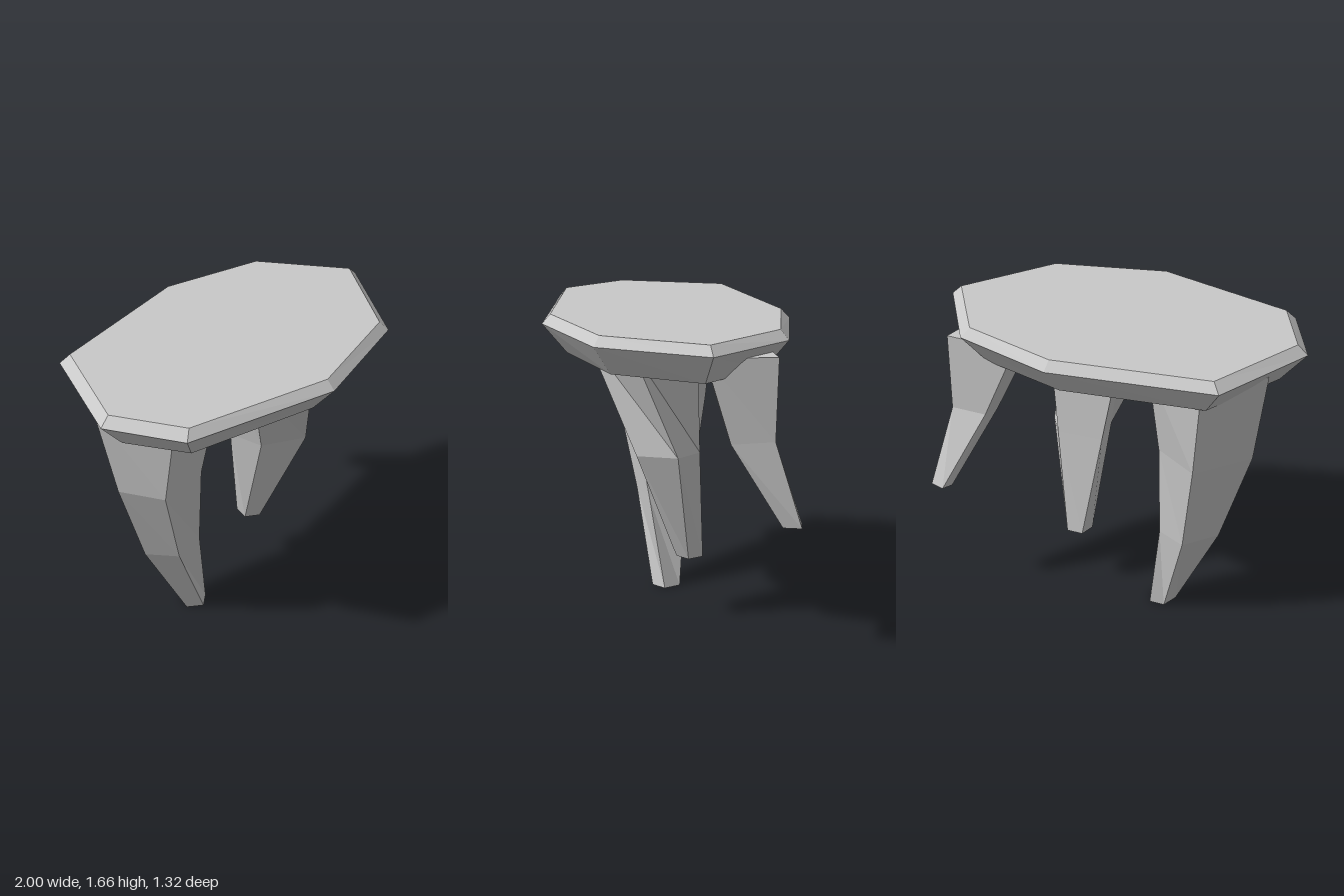
import * as THREE from 'three';

// Faceted solid from stacked rings of [x, z] corners, lowest ring first.
// Corners run from the front round by +x to the back.
function loft(name, rings, material) {
  const pos = [], index = [];
  const n = rings[0].points.length;
  for (const { y, points } of rings) {
    for (const [x, z] of points) pos.push(x, y, z);
  }
  for (let r = 0; r < rings.length - 1; r++) {
    for (let i = 0; i < n; i++) {
      const a = r * n + i, b = r * n + (i + 1) % n;
      index.push(a, b, a + n, b, b + n, a + n);
    }
  }
  const last = (rings.length - 1) * n;
  for (let i = 1; i < n - 1; i++) {
    index.push(0, i + 1, i); // underside
    index.push(last, last + i, last + i + 1); // top
  }
  const indexed = new THREE.BufferGeometry();
  indexed.setAttribute('position', new THREE.Float32BufferAttribute(pos, 3));
  indexed.setIndex(index);
  const geometry = indexed.toNonIndexed();
  geometry.computeVertexNormals();
  const mesh = new THREE.Mesh(geometry, material);
  mesh.name = name;
  return mesh;
}

export function createModel() {
  const stone = new THREE.MeshStandardMaterial({ color: 0xc8c8c8, flatShading: true });
  stone.name = 'grey stone';
  const group = new THREE.Group();
  group.name = 'stonePlatform';

  // Eight-sided slab with a bevelled rim and a tapered underside
  const rim = [[0, 0.655], [0.64, 0.5], [1, -0.01], [0.7, -0.48],
    [0.14, -0.66], [-0.735, -0.545], [-1, 0.03], [-0.81, 0.42]];
  const scaled = (sx, sz) => rim.map(([x, z]) => [x * sx, z * sz]);
  group.add(loft('slab', [
    { y: 1.455, points: scaled(0.86, 0.8) },
    { y: 1.615, points: rim },
    { y: 1.665, points: scaled(0.945, 0.93) },
  ], stone));

  // Five-sided tapering spurs of rock, each bent towards its tip
  group.add(loft('longSpur', [
    { y: 0, points: [[-0.275, 0], [-0.2, -0.055], [-0.23, -0.15], [-0.315, -0.15], [-0.35, -0.06]] },
    { y: 0.52, points: [[-0.5, 0.04], [-0.31, 0.01], [-0.303, -0.2], [-0.465, -0.28], [-0.61, -0.11]] },
    { y: 1.04, points: [[-0.67, 0.12], [-0.37, 0.09], [-0.3, -0.22], [-0.55, -0.38], [-0.78, -0.11]] },
    { y: 1.56, points: [[-0.64, 0.18], [-0.25, 0.13], [-0.265, -0.3], [-0.61, -0.45], [-0.865, -0.17]] },
  ], stone));

  group.add(loft('middleSpur', [
    { y: 0.35, points: [[0.225, -0.02], [0.295, -0.07], [0.27, -0.155], [0.18, -0.155], [0.155, -0.07]] },
    { y: 0.955, points: [[0.325, 0.22], [0.42, 0.02], [0.33, -0.12], [0.075, -0.11], [0.105, 0.09]] },
    { y: 1.56, points: [[0.1, 0.44], [0.41, 0.27], [0.39, -0.09], [-0.04, -0.09], [-0.16, 0.25]] },
  ], stone));

  group.add(loft('shortSpur', [
    { y: 0.695, points: [[0.885, -0.41], [0.92, -0.5], [0.84, -0.525], [0.81, -0.47], [0.83, -0.42]] },
    { y: 1.13, points: [[0.825, -0.15], [0.83, -0.38], [0.63, -0.385], [0.605, -0.28], [0.66, -0.18]] },
    { y: 1.56, points: [[0.76, -0.03], [0.83, -0.39], [0.43, -0.41], [0.39, -0.3], [0.48, -0.08]] },
  ], stone));

  return group;
}
